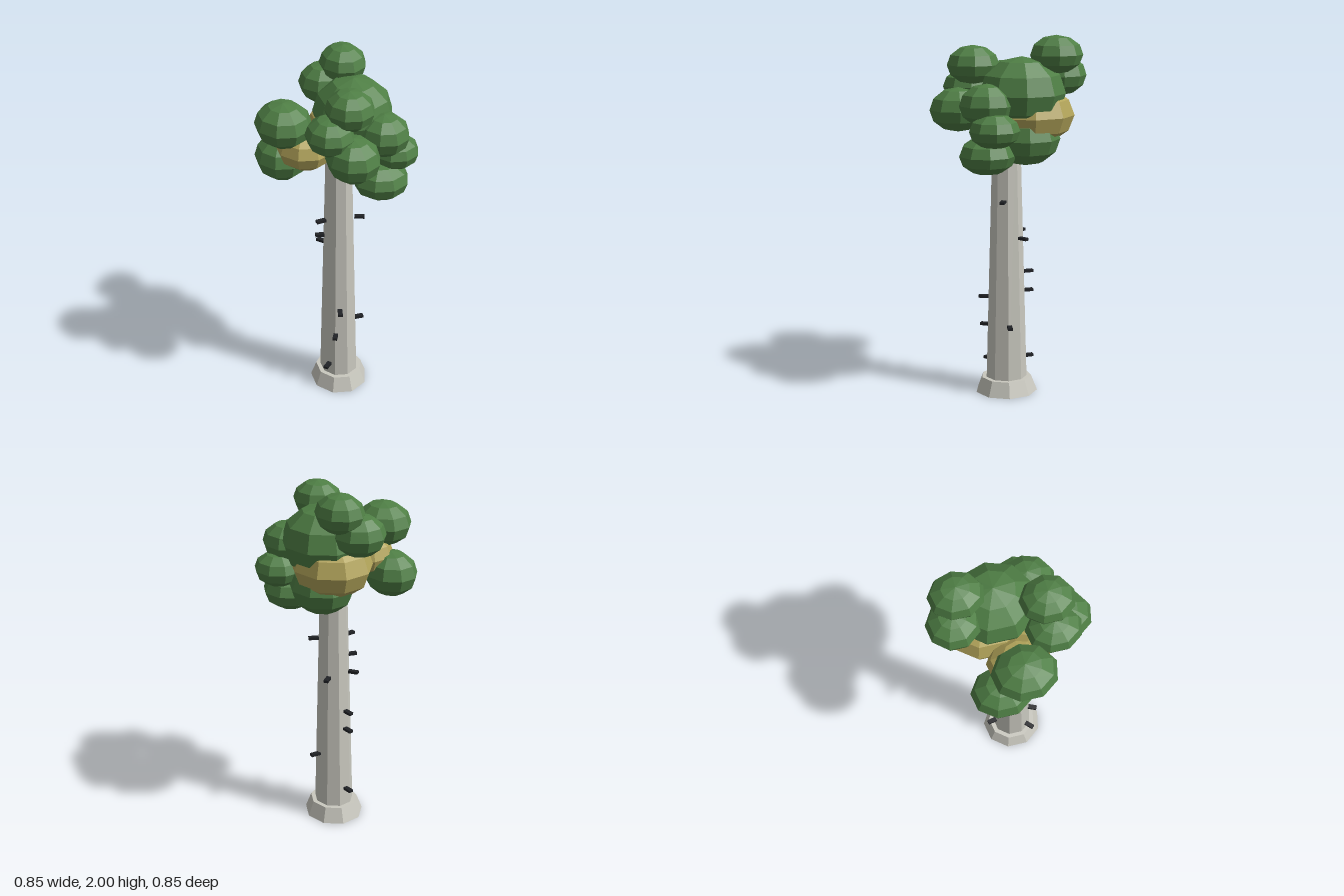
import * as THREE from 'three';

const SIDES = 9;

const leafGreen = new THREE.MeshStandardMaterial({ color: 0x4f7f45 });
leafGreen.name = 'leafGreen';
const leafGold = new THREE.MeshStandardMaterial({ color: 0xb2a45a });
leafGold.name = 'leafGold';
const paleBark = new THREE.MeshStandardMaterial({ color: 0xc9c8bf });
paleBark.name = 'paleBark';
const darkBark = new THREE.MeshStandardMaterial({ color: 0x202226 });
darkBark.name = 'darkBark';

// Split the faces so that each one is shaded flat
function faceted(geometry) {
  const flat = geometry.toNonIndexed();
  flat.computeVertexNormals();
  return flat;
}

function addMesh(parent, name, geometry, material) {
  const mesh = new THREE.Mesh(geometry, material);
  mesh.name = name;
  parent.add(mesh);
  return mesh;
}

// Tapered nine-sided column with a corner toward +x, slightly deeper than wide
function column(rTop, rBottom, y0, y1) {
  const g = new THREE.CylinderGeometry(rTop, rBottom, y1 - y0, SIDES, 1, false, Math.PI / 2);
  g.scale(1, 1, 1.07);
  g.translate(0.015, (y0 + y1) / 2, 0.006);
  return faceted(g);
}

// Leaf clumps: centre x, y, z, then radius x, y, z
const greenClumps = [
  [0.115, 1.695, -0.065, 0.216, 0.195, 0.235], // large crown
  [0.13, 1.455, -0.085, 0.175, 0.145, 0.185], // large underside
  [-0.284, 1.715, 0.0, 0.15, 0.118, 0.17],
  [-0.27, 1.468, -0.112, 0.142, 0.123, 0.163],
  [0.016, 1.84, 0.185, 0.129, 0.104, 0.143],
  [0.113, 1.897, -0.248, 0.126, 0.103, 0.144],
  [0.02, 1.78, -0.288, 0.138, 0.11, 0.14],
  [0.01, 1.6, 0.265, 0.142, 0.12, 0.158],
  [-0.093, 1.715, 0.195, 0.127, 0.1, 0.147],
  [0.22, 1.647, 0.133, 0.135, 0.113, 0.15],
  [0.293, 1.522, 0.102, 0.129, 0.094, 0.136],
  [0.207, 1.38, 0.13, 0.153, 0.105, 0.153],
];
const goldClumps = [
  [0.09, 1.575, -0.115, 0.215, 0.165, 0.237],
  [-0.17, 1.565, 0.0, 0.155, 0.115, 0.168],
];

// Bark stubs: centre x, y, z
const stubs = [
  [0.122, 1.105, 0.037], [-0.09, 1.1, 0.015], [-0.085, 0.99, -0.02],
  [-0.06, 0.91, -0.085], [0.098, 0.895, -0.078], [-0.01, 0.685, -0.12],
  [-0.01, 0.575, -0.12], [-0.015, 0.545, 0.13], [-0.04, 0.375, 0.118],
  [0.135, 0.4, 0.0], [-0.08, 0.16, 0.095], [-0.01, 0.19, -0.122],
];

export function createModel() {
  const tree = new THREE.Group();
  tree.name = 'tree';

  addMesh(tree, 'rootFlare', column(0.132, 0.163, 0, 0.085), paleBark);
  addMesh(tree, 'trunk', column(0.07, 0.108, 0.07, 1.55), paleBark);

  // Short dark stubs pointing out from the trunk
  const stubGeometry = new THREE.BoxGeometry(0.026, 0.015, 0.055);
  const barkStubs = new THREE.Group();
  barkStubs.name = 'barkStubs';
  for (const [x, y, z] of stubs) {
    const stub = addMesh(barkStubs, 'barkStub', stubGeometry, darkBark);
    stub.position.set(x, y, z);
    stub.rotation.y = Math.atan2(x - 0.015, z);
  }
  tree.add(barkStubs);

  // Low-poly foliage
  const clump = faceted(new THREE.SphereGeometry(1, SIDES, 6, Math.PI));
  const foliage = new THREE.Group();
  foliage.name = 'foliage';
  const addClumps = (list, name, material) => {
    for (const [x, y, z, rx, ry, rz] of list) {
      const mesh = addMesh(foliage, name, clump, material);
      mesh.position.set(x, y, z);
      mesh.scale.set(rx, ry, rz);
    }
  };
  addClumps(greenClumps, 'greenLeafClump', leafGreen);
  addClumps(goldClumps, 'goldLeafClump', leafGold);
  tree.add(foliage);

  return tree;
}
